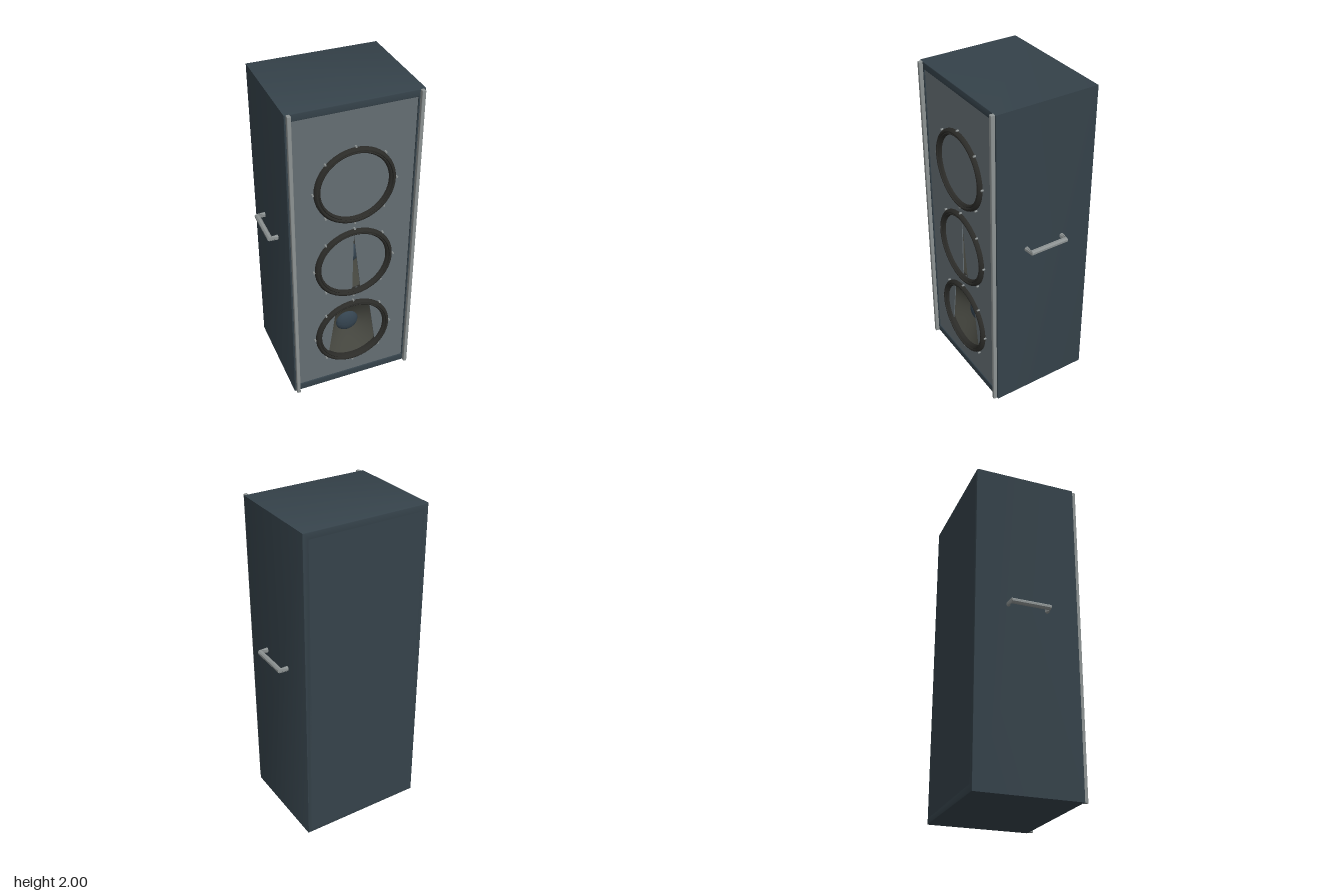
import * as THREE from 'three';
import { toCreasedNormals } from 'three/addons/utils/BufferGeometryUtils.js';
import { RoundedBoxGeometry } from 'three/addons/geometries/RoundedBoxGeometry.js';

const mat = (color, extra = {}) => new THREE.MeshStandardMaterial({ color, ...extra });
const cabinetMat = mat(0x35424a);
const baffleMat = mat(0x646d72);
const metalMat = mat(0x8c9292);
const rubberMat = mat(0x2b2b28);
const coneMat = mat(0x45463f, { side: THREE.DoubleSide });
const capMat = mat(0x34434f);

const DRIVER_Y = [0.4, 0.942, 1.484];
const BAFFLE_Z = 0.298;

function add(parent, name, geometry, material, x = 0, y = 0, z = 0) {
  const mesh = new THREE.Mesh(geometry, material);
  mesh.name = name;
  mesh.position.set(x, y, z);
  parent.add(mesh);
  return mesh;
}

// Turned part whose axis points to the front; profile is [radius, z]
function turned(profile, crease = 0.6) {
  const pts = profile.map(([r, z]) => new THREE.Vector2(r, z));
  return toCreasedNormals(new THREE.LatheGeometry(pts, 48).rotateX(Math.PI / 2), crease);
}

function rect(target, x0, y0, x1, y1) {
  target.moveTo(x0, y0);
  target.lineTo(x1, y0);
  target.lineTo(x1, y1);
  target.lineTo(x0, y1);
  target.closePath();
  return target;
}

// Side handle: a faceted bar lofted through rings at the wall and the corners
function handleGeometry() {
  const rings = [
    { c: [0.385, -0.12], u: [0, -1] },
    { c: [0.444, -0.12], u: [0.99, -0.12] },
    { c: [0.444, 0.12], u: [0.99, 0.12] },
    { c: [0.385, 0.12], u: [0, 1] },
  ];
  const sides = 8, r = 0.016, pos = [], index = [];
  rings.forEach(({ c, u }, i) => {
    for (let j = 0; j < sides; j++) {
      const a = ((j + 0.5) / sides) * Math.PI * 2;
      const w = r * Math.cos(a);
      pos.push(c[0] + u[0] * w, r * Math.sin(a), c[1] + u[1] * w);
      if (i === rings.length - 1) continue;
      const k = i * sides + j, n = i * sides + ((j + 1) % sides);
      index.push(k, n, n + sides, k, n + sides, k + sides);
    }
  });
  const g = new THREE.BufferGeometry();
  g.setAttribute('position', new THREE.Float32BufferAttribute(pos, 3));
  g.setIndex(index);
  return toCreasedNormals(g, 0.3);
}

function createDriver(y) {
  const driver = new THREE.Group();
  driver.name = 'driver';
  driver.position.y = y;
  // Flange with a groove and the rubber surround inside it
  add(driver, 'driverRing', turned([
    [0.243, 0.29], [0.243, 0.308], [0.239, 0.316], [0.231, 0.322], [0.224, 0.322],
    [0.22, 0.313], [0.215, 0.318], [0.21, 0.315], [0.205, 0.305], [0.205, 0.285],
  ]), rubberMat);
  add(driver, 'cone', turned([[0.208, 0.288], [0.15, 0.25], [0.1, 0.222], [0.065, 0.205]]), coneMat);
  // Shallow domed dust cap
  const dome = [];
  for (let i = 0; i <= 8; i++) {
    const a = (i / 8) * Math.PI / 2;
    dome.push([0.074 * Math.cos(a), 0.205 + 0.035 * Math.sin(a)]);
  }
  add(driver, 'dustCap', turned(dome), capMat);
  // Ring of mounting screws
  const screw = new THREE.CylinderGeometry(0.006, 0.006, 0.016, 12).rotateX(Math.PI / 2);
  for (let i = 0; i < 8; i++) {
    const a = (i * Math.PI) / 4;
    add(driver, 'screw', screw, metalMat, 0.25 * Math.cos(a), 0.25 * Math.sin(a), 0.305);
  }
  return driver;
}

export function createModel() {
  const model = new THREE.Group();
  model.name = 'speakerCabinet';

  // Hollow case with a front rim, closed by a back panel
  const b = 0.005;
  const outline = rect(new THREE.Shape(), -0.395 + b, b, 0.395 - b, 2 - b);
  outline.holes.push(rect(new THREE.Path(), -0.355 - b, 0.05 - b, 0.355 + b, 1.955 + b));
  const caseGeo = new THREE.ExtrudeGeometry(outline, {
    depth: 0.638 - 2 * b, bevelEnabled: true, bevelThickness: b, bevelSize: b, bevelSegments: 2,
  });
  add(model, 'cabinetCase', toCreasedNormals(caseGeo, 0.5), cabinetMat, 0, 0, -0.333 + b);
  add(model, 'backPanel', new THREE.BoxGeometry(0.74, 1.95, 0.02), cabinetMat, 0, 1, -0.323);

  // Baffle with the openings of the lower two drivers
  const baffle = rect(new THREE.Shape(), -0.358, 0.045, 0.358, 1.96);
  const lower = new THREE.Path();
  const deg = Math.PI / 180;
  lower.absarc(0, DRIVER_Y[0], 0.207, 57 * deg, 123 * deg, false);
  lower.absarc(0, DRIVER_Y[0], 0.207, 221 * deg, 319 * deg, false);
  lower.closePath();
  const slot = new THREE.Path();
  slot.moveTo(0, 1.148);
  slot.lineTo(-0.005, 0.736);
  slot.lineTo(0.048, 0.741);
  slot.closePath();
  baffle.holes.push(lower, slot);
  add(model, 'baffle', new THREE.ExtrudeGeometry(baffle, { depth: 0.006, bevelEnabled: false, curveSegments: 20 }),
    baffleMat, 0, 0, BAFFLE_Z - 0.006);

  DRIVER_Y.forEach((y) => model.add(createDriver(y)));

  // Front rails and side handles
  const rail = new RoundedBoxGeometry(0.022, 2, 0.026, 2, 0.004);
  const handle = handleGeometry();
  for (const s of [1, -1]) {
    add(model, s > 0 ? 'leftRail' : 'rightRail', rail, metalMat, s * 0.374, 1, 0.315);
    const bar = add(model, s > 0 ? 'leftHandle' : 'rightHandle', handle, metalMat, 0, 1.105, -0.012);
    if (s < 0) bar.rotation.y = Math.PI;
  }
  return model;
}
